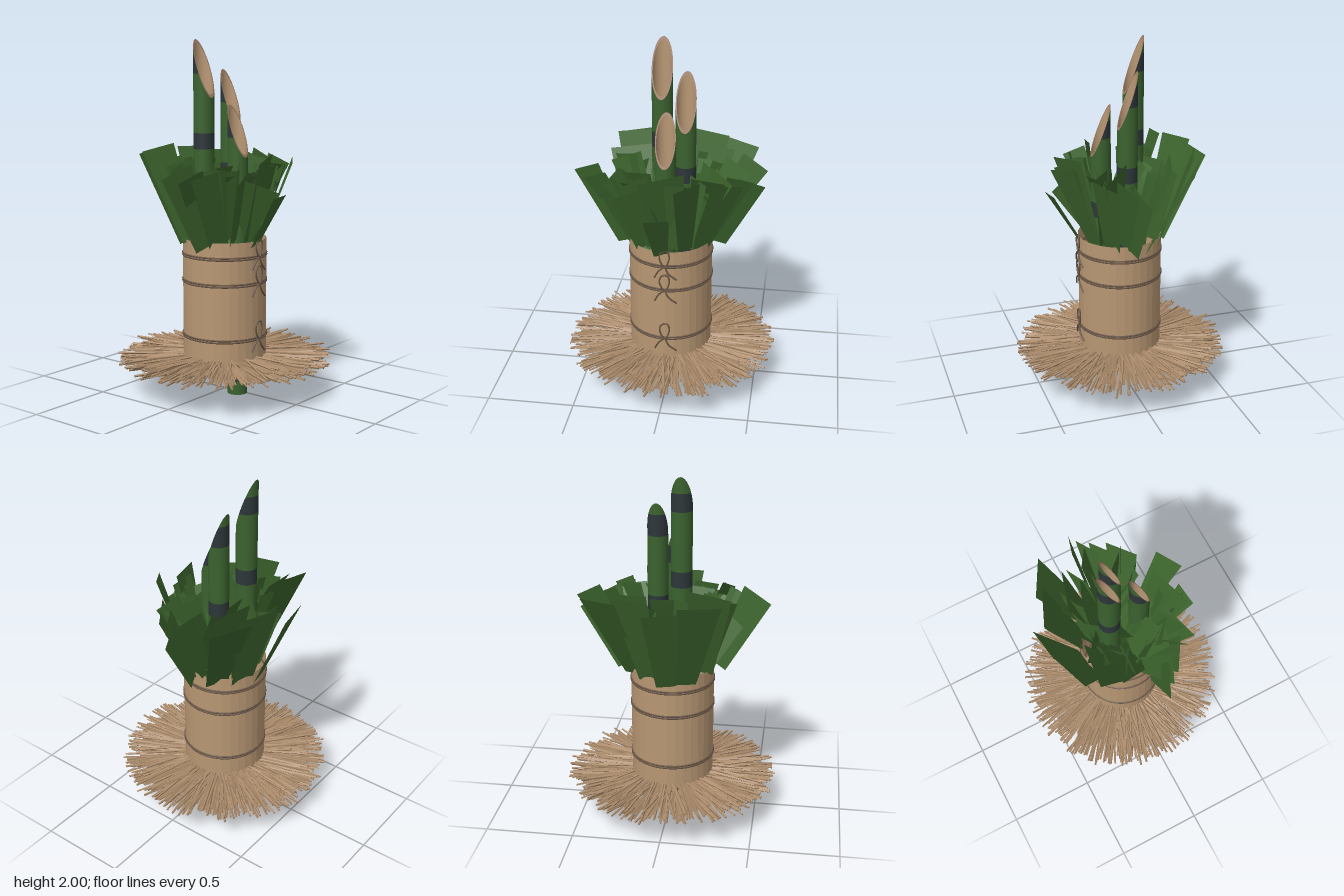
import * as THREE from 'three';
import { mergeGeometries } from 'three/addons/utils/BufferGeometryUtils.js';

const mat = (name, color, side = THREE.FrontSide, flatShading = false) => {
  const m = new THREE.MeshStandardMaterial({ color, side, flatShading });
  m.name = name;
  return m;
};

function seeded(seed) {
  return () => {
    seed = (seed * 1664525 + 1013904223) % 4294967296;
    return seed / 4294967296;
  };
}

export function createModel() {
  const model = new THREE.Group();
  const rand = seeded(11);
  const jitter = (a) => (rand() * 2 - 1) * a;
  const mats = {
    wrap: mat('wrap tan', 0xb89773, THREE.DoubleSide, true),
    straw: mat('straw', 0xab8b6b),
    rope: mat('rope brown', 0x6b5747),
    bamboo: mat('bamboo green', 0x3b622f),
    band: mat('node dark', 0x2d3639),
    inner: mat('bamboo inside', 0xb99875, THREE.DoubleSide),
    rim: mat('bamboo rim', 0xa07c66, THREE.DoubleSide),
    leaf: mat('leaf green', 0x3c642d, THREE.DoubleSide, true),
  };
  const add = (name, geometry, material, parent = model) => {
    const mesh = new THREE.Mesh(geometry, material);
    mesh.name = name;
    parent.add(mesh);
    return mesh;
  };

  // Wrapped pot, open at both ends
  const pot = new THREE.CylinderGeometry(0.238, 0.238, 0.69, 32, 1, true);
  add('pot', pot, mats.wrap).position.set(-0.005, 0.545, 0);

  // Double rope rings, each with a bow at the front
  const tube = (pts, closed = false) => new THREE.TubeGeometry(
    new THREE.CatmullRomCurve3(pts.map((p) => new THREE.Vector3(...p)), closed), 20, 0.005, 6, closed);
  for (const y of [0.335, 0.65, 0.8]) {
    const rope = new THREE.Group();
    rope.name = 'rope';
    rope.position.set(-0.005, y, 0);
    model.add(rope);
    for (const dy of [-0.006, 0.006]) {
      const ring = new THREE.TorusGeometry(0.238, 0.0055, 6, 48).rotateX(Math.PI / 2).translate(0, dy, 0);
      add('ropeRing', ring, mats.rope, rope);
    }
    const z = 0.247;
    add('bowLoop', tube([[0, 0, z], [-0.03, 0.05, z], [-0.022, 0.09, z], [0.012, 0.1, z], [0.025, 0.06, z]], true), mats.rope, rope);
    add('bowTail', tube([[0, 0.005, z], [-0.035, -0.025, z], [-0.06, -0.07, z - 0.006]]), mats.rope, rope);
    add('bowTail', tube([[0, 0.005, z], [0.02, -0.04, z], [0.065, -0.08, z - 0.01]]), mats.rope, rope);
  }

  // Straw mat: many thin stalks pointing outward
  const straws = [];
  const count = 780;
  for (let i = 0; i < count; i++) {
    const start = 0.14 + rand() * 0.1;
    const length = 0.47 + rand() * 0.145 - start;
    const straw = new THREE.BoxGeometry(length, 0.009, 0.009);
    straw.rotateX(rand() * 1.5).rotateZ(jitter(0.05)).rotateY(jitter(0.18));
    straw.translate(start + length / 2, 0.197 + jitter(0.026), 0);
    straw.rotateY((i / count) * Math.PI * 2 + jitter(0.03));
    straws.push(straw);
  }
  add('strawMat', mergeGeometries(straws), mats.straw);

  // Hollow bamboo stalks with slanted cuts that face the front
  const stalk = (x, z, r, bottom, top, low, nodes) => {
    const group = new THREE.Group();
    group.name = 'bambooStalk';
    group.position.set(x, 0, z);
    model.add(group);
    const cut = (lz) => top + (low - top) * (lz + r) / (2 * r);
    const wall = (radius, y0, y1) => {
      const g = new THREE.CylinderGeometry(radius, radius, y1 - y0, 32, 1, true).translate(0, (y0 + y1) / 2, 0);
      const p = g.attributes.position;
      for (let i = 0; i < p.count; i++) p.setY(i, Math.min(p.getY(i), cut(p.getZ(i))));
      return g;
    };
    let y = bottom;
    for (const [a, b] of nodes) {
      add('stalkSection', wall(r, y, a), mats.bamboo, group);
      add('stalkNode', wall(r, a, b), mats.band, group);
      y = b;
    }
    add('stalkSection', wall(r, y, top), mats.bamboo, group);
    add('stalkInside', wall(r * 0.89, bottom, top), mats.inner, group);
    const ring = () => new THREE.RingGeometry(r * 0.89, r, 32, 1).rotateX(-Math.PI / 2);
    const rim = ring();
    const p = rim.attributes.position;
    for (let i = 0; i < p.count; i++) p.setY(i, cut(p.getZ(i)));
    rim.computeVertexNormals();
    add('stalkRim', rim, mats.rim, group);
    add('stalkFoot', ring().translate(0, bottom, 0), mats.rim, group);
  };
  stalk(-0.067, -0.1, 0.059, 0.24, 2.0, 1.675, [[0.55, 0.64], [0.97, 1.06], [1.39, 1.48], [1.81, 1.91]]);
  stalk(0.075, -0.02, 0.057, 0.2, 1.835, 1.515, [[0.36, 0.45], [0.79, 0.88], [1.22, 1.31], [1.65, 1.77]]);
  stalk(-0.021, 0.105, 0.057, 0, 1.64, 1.35, [[0.075, 0.165], [0.54, 0.63], [1.0, 1.09], [1.46, 1.56]]);

  // Leaves: flat tapering cards from a base point to a tip point
  const leaf = (bx, by, bz, tx, ty, tz, width, yaw) => {
    const base = new THREE.Vector3(bx, by, bz);
    const tip = new THREE.Vector3(tx, ty, tz);
    const side = tip.clone().sub(base).cross(new THREE.Vector3(Math.sin(yaw), 0, Math.cos(yaw))).normalize();
    const corner = (p, w) => p.clone().addScaledVector(side, w / 2);
    const pts = [corner(base, -width * 0.55), corner(base, width * 0.55), corner(tip, width), corner(tip, -width)];
    const g = new THREE.BufferGeometry().setFromPoints(pts);
    g.setIndex([0, 1, 2, 0, 2, 3]);
    g.computeVertexNormals();
    return g;
  };
  const outer = [
    [-0.26, 0.86, 0.06, -0.475, 1.3, 0.05, 0.19, -0.45],
    [-0.18, 0.86, 0.1, -0.36, 1.28, 0.17, 0.2, -0.55],
    [-0.2, 0.88, 0.02, -0.42, 1.27, 0.1, 0.16, -0.4],
    [-0.12, 0.88, 0.15, -0.19, 1.25, 0.27, 0.22, 0.35],
    [-0.03, 0.86, 0.23, -0.03, 1.15, 0.4, 0.14, 0.12],
    [0, 0.87, 0.16, -0.02, 1.35, 0.3, 0.26, 0.35],
    [0.1, 0.88, 0.18, 0.13, 1.34, 0.37, 0.16, 0.6],
    [0.17, 0.85, 0.1, 0.33, 1.28, 0.18, 0.2, 0.6],
    [0.2, 0.88, 0.04, 0.39, 1.28, 0.08, 0.17, 0.5],
    [0.27, 0.86, 0.01, 0.45, 1.24, 0.02, 0.17, 0.4],
    [0.2, 0.9, -0.04, 0.46, 1.33, -0.07, 0.17, -0.3],
    [0.2, 0.85, -0.1, 0.36, 1.35, -0.32, 0.24, -0.5],
    [0.14, 0.9, -0.1, 0.22, 1.36, -0.22, 0.24, -0.3],
    [0.1, 0.85, -0.2, 0.18, 1.38, -0.37, 0.24, -0.4],
    [0, 0.84, -0.24, 0.0, 1.34, -0.46, 0.2, 0.15],
    [-0.1, 0.85, -0.22, -0.2, 1.37, -0.41, 0.24, 0.35],
    [-0.18, 0.88, -0.1, -0.24, 1.4, -0.29, 0.24, -0.1],
    [-0.18, 0.9, 0.04, -0.26, 1.34, -0.19, 0.24, 0.1],
  ];
  const leaves = outer.map((l) => leaf(...l));
  // Middle ring, turned at varied angles
  for (let i = 0; i < 24; i++) {
    const a = (i / 24) * Math.PI * 2 + jitter(0.15);
    const r0 = 0.1 + rand() * 0.1;
    const r1 = 0.19 + rand() * 0.13;
    const c = Math.cos(a), s = Math.sin(a);
    leaves.push(leaf(c * r0, 0.88, s * r0, c * r1 * 1.2, 1.2 + rand() * 0.13, s * r1, 0.14 + rand() * 0.06, jitter(1.1)));
  }
  // Core leaves cross between the stalks and close the crown from above
  for (let i = 0; i < 22; i++) {
    const s = i % 2 ? 1 : -1;
    const x = -0.19 + (i / 21) * 0.38;
    leaves.push(leaf(x * 0.8, 0.86 + jitter(0.04), -s * (0.05 + rand() * 0.07), x * 1.15 + jitter(0.04),
      1.18 + rand() * 0.14, s * (0.1 + rand() * 0.08), 0.13 + rand() * 0.06, jitter(0.5)));
  }
  add('leaves', mergeGeometries(leaves), mats.leaf);

  return model;
}
